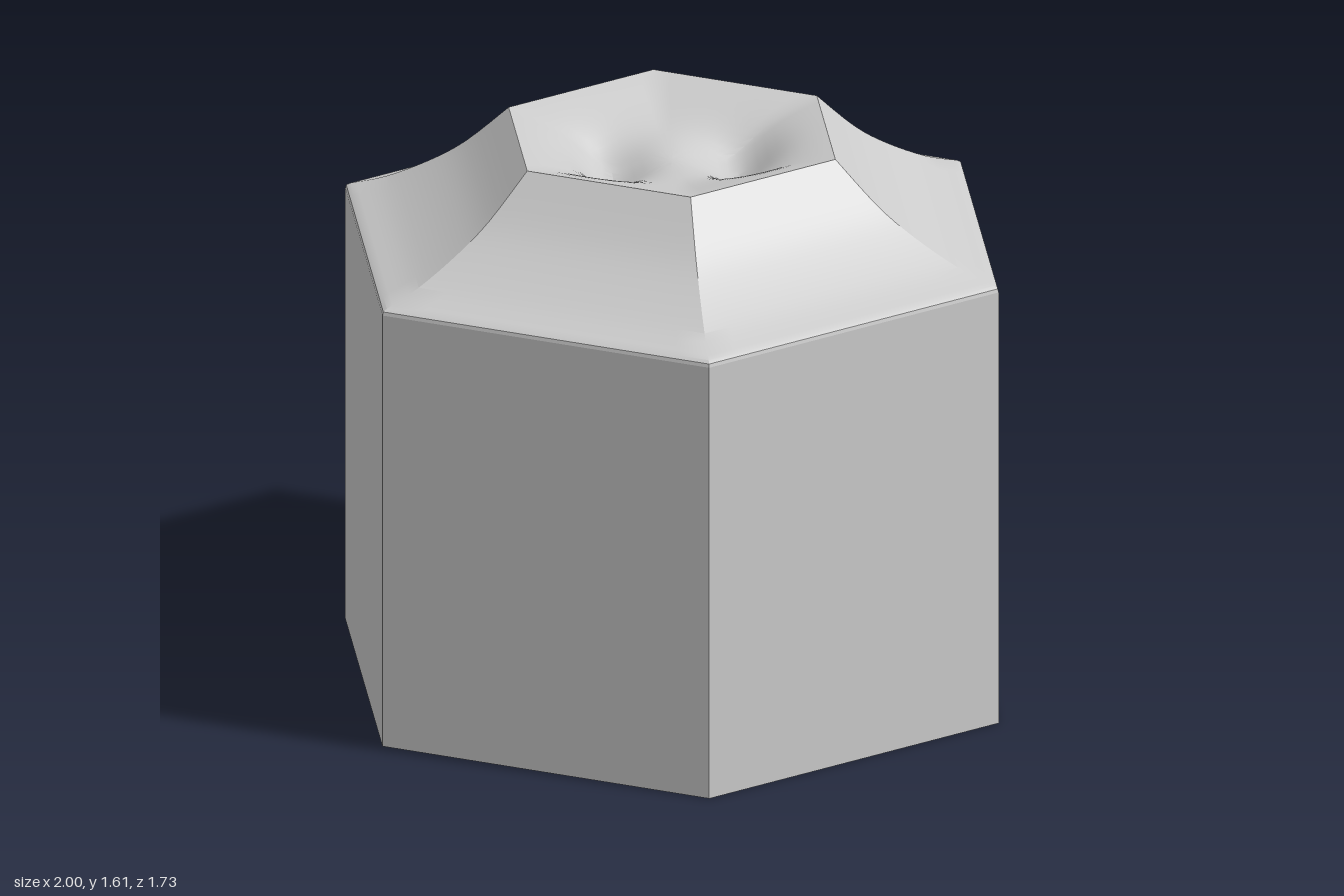
import * as THREE from 'three';
import { toCreasedNormals } from 'three/addons/utils/BufferGeometryUtils.js';

const SIDES = 6, STEPS = 10, COUNT = SIDES * STEPS;

// Point k on a hexagon of corner radius r, with corners on the x axis
function hexPoint(k, r) {
  const side = Math.floor(k / STEPS), f = (k % STEPS) / STEPS;
  const a = side * Math.PI / 3, b = a + Math.PI / 3;
  return [
    r * (Math.cos(a) * (1 - f) + Math.cos(b) * f),
    r * (Math.sin(a) * (1 - f) + Math.sin(b) * f),
  ];
}

// Lofts hexagonal rings from the outside in; height(x, z, i) gives y
function loftHexRings(radii, height) {
  const pos = [], index = [];
  radii.forEach((r, i) => {
    for (let k = 0; k < COUNT; k++) {
      const [x, z] = hexPoint(k, r);
      pos.push(x, height(x, z, i), z);
    }
  });
  for (let i = 0; i < radii.length - 1; i++) {
    for (let k = 0; k < COUNT; k++) {
      const a = i * COUNT + k, b = i * COUNT + (k + 1) % COUNT;
      const c = a + COUNT, d = b + COUNT;
      index.push(a, c, b);
      if (radii[i + 1] > 0) index.push(b, c, d);
    }
  }
  const geo = new THREE.BufferGeometry();
  geo.setAttribute('position', new THREE.Float32BufferAttribute(pos, 3));
  geo.setIndex(index);
  return toCreasedNormals(geo, 0.42);
}

// Crater floor: two pits either side of a low diagonal ridge
function craterHeight(x, z, t) {
  const across = 0.87 * x - 0.5 * z, along = 0.5 * x + 0.87 * z;
  const pit = (c) => Math.exp(-((across - c) ** 2) / 0.013 - along ** 2 / 0.025);
  const inward = THREE.MathUtils.smoothstep(1 - t, -0.25, 0.65)
    - THREE.MathUtils.smoothstep(0, -0.25, 0.65) * t;
  return 1.61 - inward * (0.07 + 0.09 * (pit(0.19) + pit(-0.19)));
}

export function createModel() {
  const group = new THREE.Group();
  const material = new THREE.MeshStandardMaterial({ color: 0xcccccc, side: THREE.DoubleSide });
  const add = (name, geo) => {
    const mesh = new THREE.Mesh(geo, material);
    mesh.name = name;
    group.add(mesh);
  };

  // Straight hexagonal walls, open underneath
  const wall = [[1, 0], [1, 1.29]];
  add('hexWalls', loftHexRings(wall.map((p) => p[0]), (x, z, i) => wall[i][1]));

  // Concave mountain slopes, starting with a small softened edge
  const curve = new THREE.SplineCurve([
    [0.985, 1.307], [0.875, 1.345], [0.74, 1.415], [0.63, 1.49], [0.5, 1.61],
  ].map(([r, y]) => new THREE.Vector2(r, y)));
  const slope = [[1, 1.29], [0.997, 1.3], ...curve.getPoints(16).map((p) => [p.x, p.y])];
  add('mountainSlopes', loftHexRings(slope.map((p) => p[0]), (x, z, i) => slope[i][1]));

  // Sunken crater inside the rim
  const rings = 16;
  const radii = Array.from({ length: rings + 1 }, (_, i) => 0.5 * (1 - i / rings));
  add('crater', loftHexRings(radii, (x, z, i) => craterHeight(x, z, 1 - i / rings)));

  return group;
}
